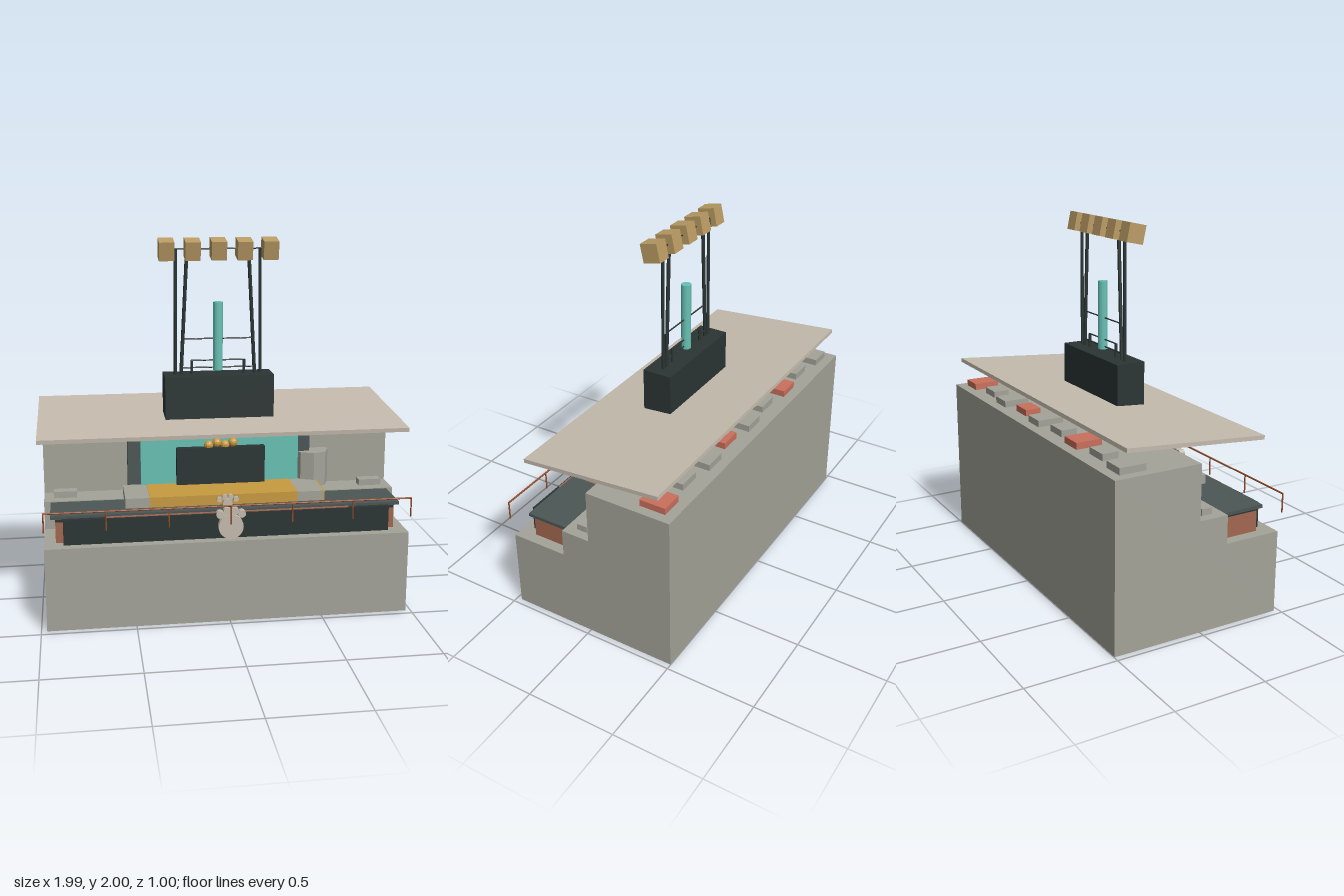
import * as THREE from 'three';

const mat = (name, color) => {
  const m = new THREE.MeshStandardMaterial({ color });
  m.name = name;
  m.flatShading = true;
  return m;
};

export function createModel() {
  const root = new THREE.Group();
  root.name = 'broadcastStation';
  const stone = mat('stone grey', 0xa3a399);
  const dark = mat('charcoal', 0x2b3534);
  const slate = mat('slate', 0x4b5655);
  const teal = mat('turquoise', 0x68c1b5);
  const gold = mat('gold', 0xc79a40);
  const wood = mat('tan', 0xba9b64);
  const copper = mat('copper', 0xa2674f);
  const rust = mat('rust', 0x944c2a);
  const red = mat('red', 0xc9705c);
  const cream = mat('cream', 0xc4bbad);

  const add = (name, geo, m, x = 0, y = 0, z = 0, parent = root) => {
    const mesh = new THREE.Mesh(geo, m);
    mesh.name = name;
    mesh.position.set(x, y, z);
    parent.add(mesh);
    return mesh;
  };
  // box given by its limits on each axis
  const box = (name, m, x0, x1, y0, y1, z0, z1) =>
    add(name, new THREE.BoxGeometry(x1 - x0, y1 - y0, z1 - z0), m, (x0 + x1) / 2, (y0 + y1) / 2, (z0 + z1) / 2);
  // round rod between two points
  const rod = (name, m, a, b, r) => {
    const p = new THREE.Vector3(...a), q = new THREE.Vector3(...b);
    const d = q.clone().sub(p);
    const mesh = add(name, new THREE.CylinderGeometry(r, r, d.length(), 8), m);
    mesh.position.copy(p).add(q).multiplyScalar(0.5);
    mesh.quaternion.setFromUnitVectors(new THREE.Vector3(0, 1, 0), d.normalize());
  };

  // stepped base, profile in z and y
  const profile = new THREE.Shape([
    [0.47, 0.003], [0.47, 0.455], [0.15, 0.455], [0.15, 0.61], [-0.015, 0.61],
    [-0.015, 0.91], [-0.5, 0.91], [-0.5, 0.003],
  ].map(([z, y]) => new THREE.Vector2(z, y)));
  const baseGeo = new THREE.ExtrudeGeometry(profile, { depth: 1.94, bevelEnabled: false });
  baseGeo.translate(0, 0, -0.97).rotateY(-Math.PI / 2);
  add('steppedBase', baseGeo, stone);
  box('undersidePlate', dark, -0.87, 0.87, 0, 0.006, -0.1, 0.34);

  // front counter
  box('counterFront', dark, -0.87, 0.87, 0.455, 0.592, 0.375, 0.418);
  box('counterBody', copper, -0.91, 0.91, 0.455, 0.568, 0.15, 0.376);
  box('counterUpper', dark, -0.91, 0.91, 0.568, 0.59, 0.15, 0.376);
  box('counterTop', slate, -0.935, 0.935, 0.588, 0.606, 0.14, 0.392);
  box('counterTrim', copper, -0.65, 0.65, 0.588, 0.596, 0.395, 0.41);

  // desk with gold centre and grey ends
  box('deskCentre', gold, -0.41, 0.39, 0.604, 0.662, 0.06, 0.315);
  box('deskRightEnd', stone, -0.54, -0.41, 0.604, 0.66, 0.06, 0.313);
  box('deskLeftEnd', stone, 0.39, 0.532, 0.604, 0.66, 0.06, 0.313);
  box('deskEndCap', gold, 0.532, 0.54, 0.604, 0.66, 0.06, 0.313);

  // stage backdrop
  box('backdropFrame', slate, -0.51, 0.51, 0.61, 0.985, -0.09, 0.05);
  box('backdropScreen', teal, -0.44, 0.44, 0.61, 0.93, 0.05, 0.072);
  box('lectern', dark, -0.245, 0.245, 0.61, 0.868, 0.07, 0.11);
  [[-0.065, 0.878], [-0.02, 0.89], [0.025, 0.878], [0.07, 0.89]].forEach(([x, y]) =>
    add('goldBall', new THREE.SphereGeometry(0.026, 12, 8), gold, x, y, 0.085));
  add('drum', new THREE.CylinderGeometry(0.1, 0.1, 0.195, 8), stone, 0.525, 0.7175, 0.01);

  // small units on the middle step
  for (const s of [-1, 1]) {
    const c = s * 0.855;
    box('stepUnit', stone, c - 0.063, c + 0.063, 0.61, 0.645, 0.03, 0.09);
  }

  // row of units along the back
  for (let i = 0; i < 9; i++) {
    const x = 0.855 - i * 0.21375, d = i % 2 ? 0.045 : 0.073;
    box('backUnit', i % 3 ? stone : red, x - 0.063, x + 0.063, 0.91, 0.946, -0.372 - d, -0.372 + d);
  }

  // sloping canopy and tower block
  const canopy = add('canopy', new THREE.BoxGeometry(1.985, 0.022, 0.795), cream, 0, 1.023, -0.055);
  canopy.rotation.x = 0.08;
  box('towerBlock', dark, -0.3, 0.3, 0.94, 1.26, -0.097, 0.068);

  // mast frame
  const Z = -0.015;
  add('mastColumn', new THREE.CylinderGeometry(0.027, 0.027, 0.375, 16), teal, 0, 1.4675, Z);
  for (const s of [-1, 1]) {
    rod('outerPole', dark, [s * 0.236, 1.25, Z], [s * 0.23, 1.94, Z], 0.009);
    rod('innerPole', dark, [s * 0.205, 1.25, Z], [s * 0.168, 1.94, Z], 0.01);
    rod('hoopLeg', dark, [s * 0.145, 1.25, Z], [s * 0.145, 1.335, Z], 0.008);
  }
  [[0.15, 1.335], [0.2, 1.295], [0.19, 1.455], [0.28, 1.942]].forEach(([w, y]) =>
    rod('crossBar', dark, [-w, y, Z], [w, y, Z], 0.004));

  // tilted lamp boxes
  for (let i = -2; i <= 2; i++) {
    const lamp = add('lampBox', new THREE.BoxGeometry(0.082, 0.101, 0.098), wood, i * 0.141, 1.941, 0);
    lamp.rotation.x = 0.21;
  }

  // front railing
  rod('rail', rust, [-0.97, 0.657, 0.494], [0.97, 0.657, 0.494], 0.005);
  for (const x of [-0.968, -0.65, -0.325, 0, 0.325, 0.65, 0.968])
    rod('railPost', rust, [x, 0.555, 0.494], [x, 0.657, 0.494], 0.004);

  // round emblems with a crown of small discs
  const emblem = (y, z, r, toeR, toes, depth) => {
    const g = new THREE.Group();
    g.name = 'roundEmblem';
    root.add(g);
    const disc = (rad, x, yy, n) => {
      const geo = new THREE.CylinderGeometry(rad, rad, depth, n).rotateX(Math.PI / 2);
      add('emblemDisc', geo, cream, x, yy, z, g);
    };
    disc(r, 0, y, 24);
    toes.forEach(([x, dy]) => disc(toeR, x, y + dy, 12));
  };
  emblem(0.54, 0.474, 0.066, 0.021, [[-0.057, 0.068], [-0.02, 0.084], [0.02, 0.084], [0.057, 0.068]], 0.034);
  emblem(0.628, 0.36, 0.026, 0.014, [[-0.045, 0.022], [-0.016, 0.036], [0.016, 0.036], [0.045, 0.022]], 0.02);

  return root;
}
